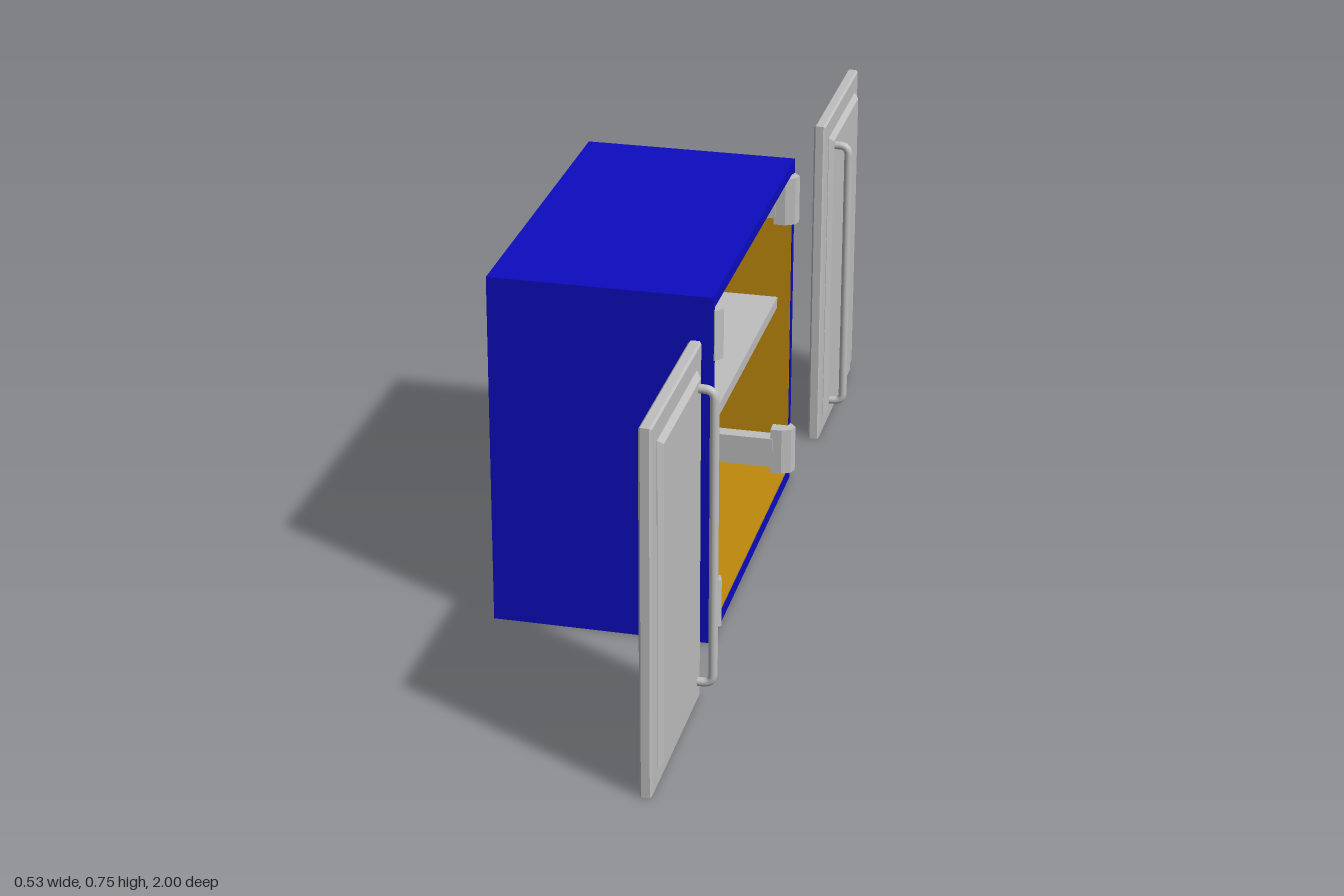
import * as THREE from 'three';

export function createModel() {
  const model = new THREE.Group();
  model.name = 'cabinet';
  const mat = (name, color) => {
    const m = new THREE.MeshStandardMaterial({ color });
    m.name = name;
    return m;
  };
  const blue = mat('blue paint', 0x0c0cc0);
  const gold = mat('golden interior', 0xbf8a0c);
  const grey = mat('light grey', 0xbfbfbf);

  const add = (parent, name, geometry, material) => {
    const mesh = new THREE.Mesh(geometry, material);
    mesh.name = name;
    parent.add(mesh);
    return mesh;
  };
  // Box given by its lower and upper limits
  const box = (parent, name, material, [x0, x1], [y0, y1], [z0, z1]) => {
    const g = new THREE.BoxGeometry(x1 - x0, y1 - y0, z1 - z0);
    g.translate((x0 + x1) / 2, (y0 + y1) / 2, (z0 + z1) / 2);
    return add(parent, name, g, material);
  };
  // Upright plate lying across x, with chamfered edges
  const plate = (x0, x1, w, y0, y1, bevel) => {
    const s = new THREE.Shape();
    const a = w / 2 - bevel, lo = y0 + bevel, hi = y1 - bevel;
    s.moveTo(-a, lo);
    s.lineTo(a, lo);
    s.lineTo(a, hi);
    s.lineTo(-a, hi);
    s.closePath();
    const g = new THREE.ExtrudeGeometry(s, {
      depth: x1 - x0 - 2 * bevel, bevelEnabled: true, bevelSegments: 1,
      bevelSize: bevel, bevelThickness: bevel,
    });
    g.rotateY(Math.PI / 2);
    g.translate(x0 + bevel, 0, 0);
    return g;
  };

  // Outer shell, open towards +x
  const W = 0.395, H = 0.755, B = -0.265, F = 0.19, T = 0.016, V = 0.025;
  const shell = new THREE.Group();
  shell.name = 'shell';
  model.add(shell);
  box(shell, 'bottomPanel', blue, [B, F], [0, V], [-W, W]);
  box(shell, 'topPanel', blue, [B, F], [H - V, H], [-W, W]);
  box(shell, 'backPanel', blue, [B, B + 0.02], [V, H - V], [-W, W]);
  for (const s of [-1, 1]) {
    box(shell, 'sidePanel', blue, [B + 0.02, F], [V, H - V], s < 0 ? [-W, -W + T] : [W - T, W]);
  }

  // Thin coloured lining inside the shell
  const L = 0.004, inner = W - T, back = B + 0.02, front = F - 0.002;
  const lining = new THREE.Group();
  lining.name = 'lining';
  model.add(lining);
  box(lining, 'floorLining', gold, [back, front], [V, V + L], [-inner, inner]);
  box(lining, 'ceilingLining', gold, [back, front], [H - V - L, H - V], [-inner, inner]);
  box(lining, 'backLining', gold, [back, back + L], [V + L, H - V - L], [-inner, inner]);
  for (const s of [-1, 1]) {
    box(lining, 'sideLining', gold, [back + L, front], [V + L, H - V - L],
      s < 0 ? [-inner, -inner + L] : [inner - L, inner]);
  }
  box(model, 'shelf', grey, [back + L, 0.16], [0.415, 0.44], [-inner + L, inner - L]);

  // Hinges: a wedge-nosed block at the opening and an arm along the side wall
  const hinge = (sign, top) => {
    const g = new THREE.Group();
    g.name = 'hinge';
    const y0 = top ? 0.62 : 0.03;
    const plan = new THREE.Shape();
    [[0.155, 0.378], [0.192, 0.389], [0.206, 0.372], [0.2, 0.355], [0.18, 0.345], [0.155, 0.345]]
      .forEach(([x, z], i) => (i ? plan.lineTo(x, -z * sign) : plan.moveTo(x, -z * sign)));
    const block = new THREE.ExtrudeGeometry(plan, { depth: 0.105, bevelEnabled: false });
    block.rotateX(-Math.PI / 2);
    block.translate(0, y0, 0);
    add(g, 'hingeBlock', block, grey);
    const z = sign > 0 ? [0.342, 0.376] : [-0.376, -0.342];
    box(g, 'hingeArm', grey, [-0.015, 0.16], [y0 + 0.015, y0 + 0.083], z);
    model.add(g);
  };
  for (const s of [-1, 1]) for (const top of [false, true]) hinge(s, top);

  // Detached doors, each with a raised panel and a bent bar handle
  for (const s of [-1, 1]) {
    const door = new THREE.Group();
    door.name = s > 0 ? 'leftDoor' : 'rightDoor';
    model.add(door);
    add(door, 'doorSlab', plate(0.19, 0.215, 0.397, 0, H, 0.004), grey).position.z = s * 0.8015;
    add(door, 'raisedPanel', plate(0.203, 0.226, 0.313, 0.041, 0.714, 0.01), grey).position.z = s * 0.803;

    const v = (x, y) => new THREE.Vector3(x, y, s * 0.672);
    const r = 0.02, xo = 0.256, lo = 0.07, hi = 0.69;
    const path = new THREE.CurvePath();
    path.add(new THREE.LineCurve3(v(0.222, lo), v(xo - r, lo)));
    path.add(new THREE.QuadraticBezierCurve3(v(xo - r, lo), v(xo, lo), v(xo, lo + r)));
    path.add(new THREE.LineCurve3(v(xo, lo + r), v(xo, hi - r)));
    path.add(new THREE.QuadraticBezierCurve3(v(xo, hi - r), v(xo, hi), v(xo - r, hi)));
    path.add(new THREE.LineCurve3(v(xo - r, hi), v(0.222, hi)));
    add(door, 'handle', new THREE.TubeGeometry(path, 140, 0.009, 14, false), grey);
  }
  return model;
}
